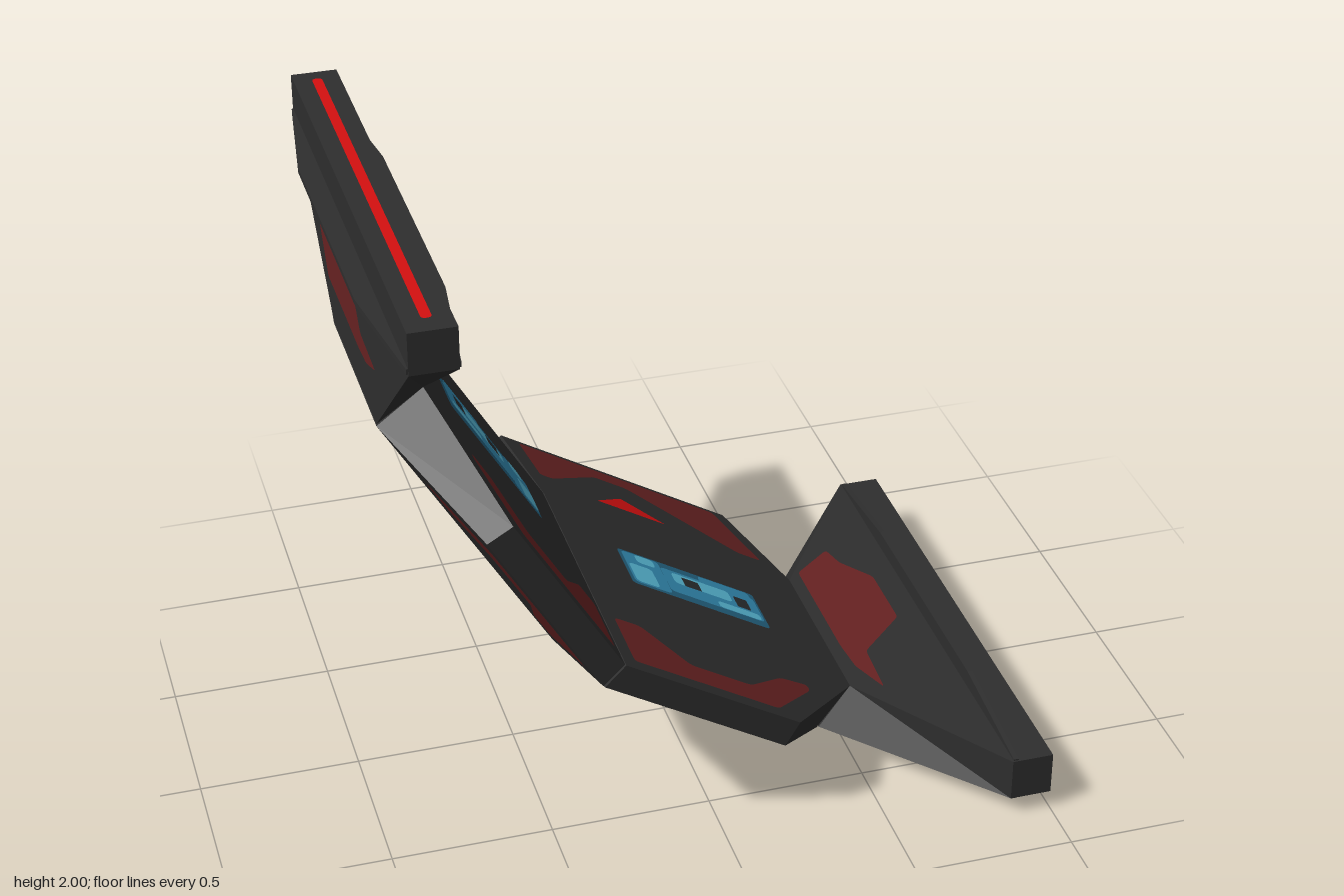
import * as THREE from 'three';

const mat = (name, color, side = THREE.FrontSide) => {
  const m = new THREE.MeshStandardMaterial({ color, side });
  m.name = name;
  return m;
};

// Solid through a row of equal-length rings, flat shaded, always wound outwards
function loft(rings) {
  const tris = [];
  const n = rings[0].length, last = rings.length - 1;
  for (let r = 0; r < last; r++) {
    for (let i = 0; i < n; i++) {
      const j = (i + 1) % n;
      const a = rings[r][i], b = rings[r][j], c = rings[r + 1][j], d = rings[r + 1][i];
      tris.push([a, b, c], [a, c, d]);
    }
  }
  for (let i = 1; i < n - 1; i++) {
    tris.push([rings[0][0], rings[0][i + 1], rings[0][i]]);
    tris.push([rings[last][0], rings[last][i], rings[last][i + 1]]);
  }
  let volume = 0;
  for (const [a, b, c] of tris) volume += a.dot(b.clone().cross(c));
  if (volume < 0) tris.forEach((t) => t.reverse());
  const g = new THREE.BufferGeometry().setFromPoints(tris.flat());
  g.computeVertexNormals();
  return g;
}

// Outline with slightly rounded corners
function roundedShape(pts, r) {
  const s = new THREE.Shape();
  const v = pts.map((p) => new THREE.Vector2(...p));
  v.forEach((p, i) => {
    const toward = (q) => p.clone().lerp(q, Math.min(0.4, r / p.distanceTo(q)));
    const a = toward(v[(i + v.length - 1) % v.length]);
    const b = toward(v[(i + 1) % v.length]);
    if (i) s.lineTo(a.x, a.y); else s.moveTo(a.x, a.y);
    s.quadraticCurveTo(p.x, p.y, b.x, b.y);
  });
  return s;
}

// Flat painted patch; place(u, v) puts each outline point on a surface
function patch(pts, place, r = 0.015) {
  const g = new THREE.ShapeGeometry(roundedShape(pts, r), 3).toNonIndexed();
  const p = g.attributes.position;
  for (let i = 0; i < p.count; i++) p.setXYZ(i, ...place(p.getX(i), p.getY(i)).toArray());
  g.computeVertexNormals();
  return g;
}

const rect = (y0, y1, z0, z1) => [[y0, z0], [y1, z0], [y1, z1], [y0, z1]];

// Painted outlines as [height, z]
const backRed = [[1.45, -0.4], [1.4, -0.79], [0.73, -0.79], [0.73, -0.5], [0.77, -0.5], [0.96, -0.7], [1.07, -0.7], [1.37, -0.4]];
const frontRed = [[1.18, 0.62], [1.34, 0.44], [1.34, 0.41], [1.25, 0.42], [1.12, 0.53], [0.93, 0.53], [0.81, 0.39], [0.73, 0.39], [0.73, 0.62]];
const triangle = [[1.13, -0.43], [1.01, -0.55], [0.9, -0.43]];
const endOuterRed = [[1.82, 0.66], [1.82, -0.64], [1.79, -0.62], [1.65, -0.42], [1.65, -0.2], [1.74, -0.11], [1.74, 0.25], [1.68, 0.31], [1.68, 0.41], [1.78, 0.66]];
const endInnerRed = [[1.56, -0.33], [1.69, -0.43], [1.71, -0.35], [1.79, -0.24], [1.79, 0], [1.63, 0.15], [1.62, 0.35], [1.57, 0.22], [1.56, 0.1]];

// Main panel frame: inner edge start, direction along it, and inner normal
const start = new THREE.Vector2(-0.8, 1.52);
const dir = new THREE.Vector2(0.511, -0.86);
const onPanel = (s, h, z) => new THREE.Vector3(
  start.x + dir.x * s - dir.y * h, start.y + dir.y * s + dir.x * h, z);
const innerHeight = (z) => (z < -0.3 ? 0.086 * (z + 0.3) / 0.52 : 0);
const outerHeight = (z) => {
  if (z > 0.31) return -0.175 + 0.085 * (z - 0.31) / 0.35;
  if (z < -0.3) return -0.175 - 0.06 * (z + 0.3) / 0.52;
  return -0.175;
};

export function createModel() {
  const charcoal = mat('charcoal', 0x2e2e2e);
  const paint = {
    darkRed: mat('dark red', 0x672222, THREE.DoubleSide),
    red: mat('bright red', 0xd41010, THREE.DoubleSide),
    deepBlue: mat('deep blue', 0x23617f, THREE.DoubleSide),
    midBlue: mat('mid blue', 0x3389b0, THREE.DoubleSide),
    lightBlue: mat('light blue', 0x58b8d4, THREE.DoubleSide),
    black: mat('soot', 0x2a2c2e, THREE.DoubleSide),
  };
  const model = new THREE.Group();
  model.name = 'bentPanelFrame';

  // The lower half is the upper half reflected across the diagonal
  for (const lower of [false, true]) {
    const half = new THREE.Group();
    half.name = lower ? 'lowerHalf' : 'upperHalf';
    model.add(half);
    const flip = (v) => (lower ? new THREE.Vector3(v.y - 1, v.x + 1, v.z) : v);
    const add = (name, g, m) => {
      const mesh = new THREE.Mesh(g, m);
      mesh.name = name;
      half.add(mesh);
    };
    const solid = (name, rings) => add(name, loft(rings.map((r) => r.map(flip))), charcoal);

    // Main panel: [z, inner start, inner end, outer start, outer end]
    const ribs = [[-0.82, 0.03, 0.927, 0.03, 0.935], [-0.3, 0, 0.96, 0.02, 1.0],
      [0.31, 0, 0.96, 0.02, 1.0], [0.66, 0.33, 0.96, 0.33, 0.982]];
    solid('mainPanel', ribs.map(([z, a, b, c, d]) => {
      const hi = innerHeight(z), ho = outerHeight(z);
      return [onPanel(a, hi, z), onPanel(b, hi, z), onPanel(d, ho, z), onPanel(c, ho, z)];
    }));

    // Flared end panel with its square end bar
    const slab = (yIn, yOut, z0, z1) => [[-0.8, yIn, z0], [-0.8, yIn, z1], [-0.94, yOut, z1], [-0.94, yOut, z0]]
      .map((p) => new THREE.Vector3(...p));
    solid('endPanel', [slab(1.52, 1.42, -0.3, 0.31), slab(1.87, 1.87, -0.805, 0.82)]);
    solid('endBar', [slab(1.87, 1.87, -0.805, 0.82), slab(2, 2, -0.805, 0.82)]);

    // Thin eight-sided fin around the bar
    const fin = [[-1, -0.41], [-0.945, -0.8], [-0.795, -0.8], [-0.745, -0.41],
      [-0.745, 0.41], [-0.795, 0.815], [-0.945, 0.815], [-1, 0.41]];
    solid('fin', [1.873, 1.89].map((y) => fin.map(([x, z]) => new THREE.Vector3(x, y, z))));

    // Light strip along the end of the bar
    add('lightStrip', patch([[-0.886, -0.755], [-0.855, -0.755], [-0.855, 0.755], [-0.886, 0.755]],
      (x, z) => flip(new THREE.Vector3(x, 2.002, z))), paint.red);

    // Painted patches on both faces
    for (const inner of [true, false]) {
      const side = inner ? 'Inner' : 'Outer';
      const sign = inner ? 1 : -1;
      const onMain = (lift) => (y, z) => {
        const s = (1.52 - y + 0.511 * innerHeight(z)) / 0.86;
        return flip(onPanel(s, (inner ? innerHeight(z) : outerHeight(z)) + sign * lift, z));
      };
      const decal = (name, pts, colour, lift = 0.003, r = 0.015) =>
        add(name + side, patch(pts, onMain(lift), r), paint[colour]);

      decal('backWingPatch', backRed, 'darkRed');
      decal('frontWingPatch', frontRed, 'darkRed');
      decal('warningTriangle', triangle, 'red', 0.003, 0.005);

      const x = inner ? -0.797 : -0.943;
      add('endPatch' + side, patch(inner !== lower ? endOuterRed : endInnerRed,
        (y, z) => flip(new THREE.Vector3(x, y, z))), paint.darkRed);

      // Mottled blue window
      decal('window', rect(0.87, 1.32, -0.09, 0.11), 'deepBlue', 0.002);
      const mid = [rect(0.88, 1.0, -0.08, 0.1), rect(1.0, 1.31, -0.055, 0.08), rect(1.13, 1.3, -0.08, 0.03)];
      mid.forEach((p, i) => decal('windowMid' + i, p, 'midBlue', 0.004 + i * 0.0005));
      const light = [rect(0.885, 0.96, -0.01, 0.095), rect(0.92, 0.98, -0.075, -0.03),
        rect(1.03, 1.22, -0.04, 0.02), rect(1.16, 1.3, 0.045, 0.08)];
      light.forEach((p, i) => decal('windowLight' + i, p, 'lightBlue', 0.006));
      const dark = [rect(1.23, 1.275, -0.02, 0.04), rect(1.06, 1.115, -0.025, 0.025)];
      dark.forEach((p, i) => decal('windowSpot' + i, p, 'black', 0.008, 0.005));
    }
  }
  return model;
}
